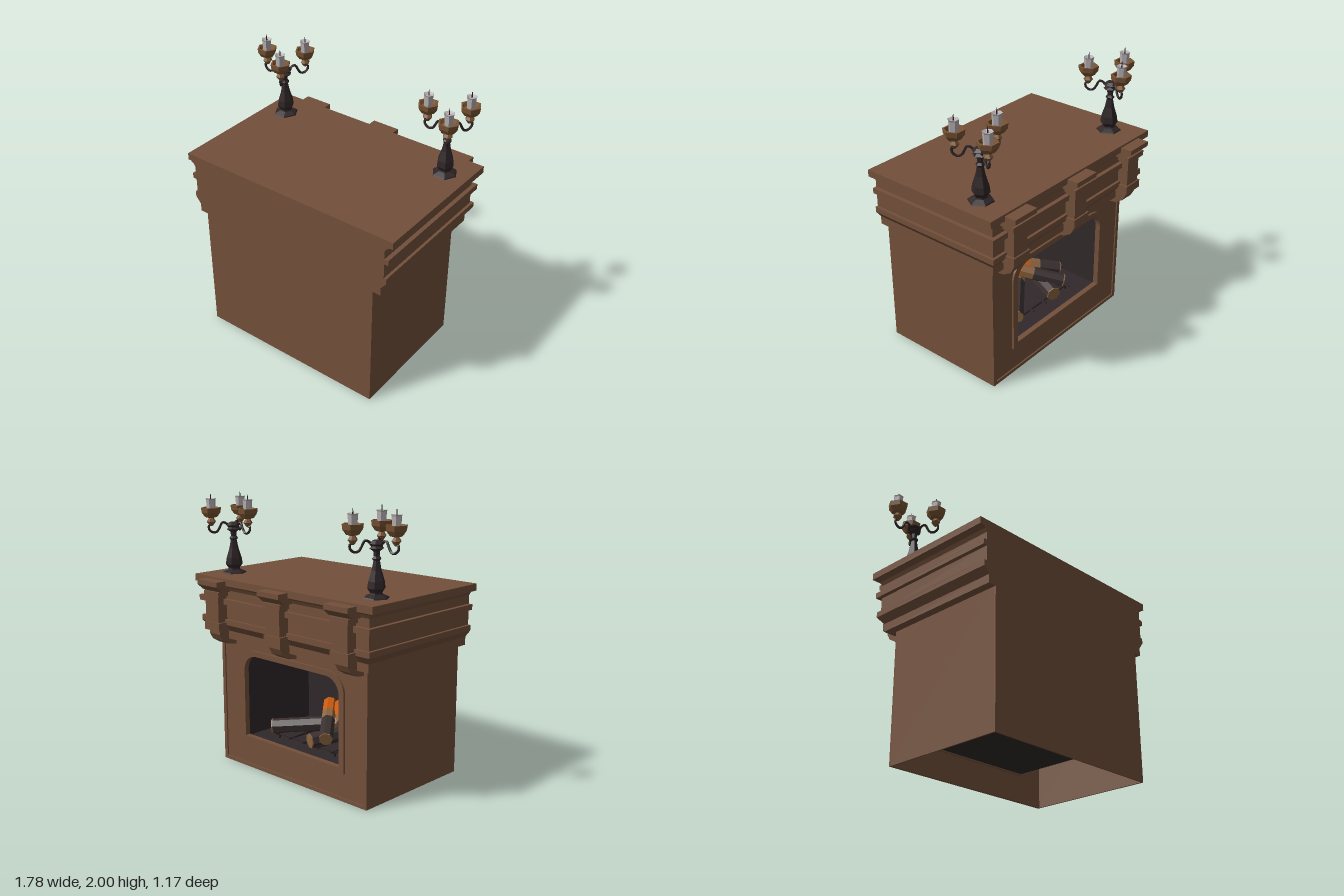
import * as THREE from 'three';

const mat = (name, color) => new THREE.MeshStandardMaterial({ name, color, flatShading: true, side: THREE.DoubleSide });

export function createModel() {
  const wood = mat('brown wood', 0x73503a);
  const soot = mat('sooty firebox', 0x30282a);
  const iron = mat('dark iron', 0x2e2426);
  const bronze = mat('bronze cup', 0x7a5433);
  const wax = mat('candle wax', 0xb5aeb0);
  const bark = mat('charred bark', 0x3a3030);
  const cut = mat('cut log', 0x8c6440);
  const ember = mat('glowing ember', 0xc85a10);

  const model = new THREE.Group();
  model.name = 'fireplace';
  const CX = 0.03, FRONT = 0.59, BACK = -0.38, HX = 0.72;

  const add = (parent, name, geo, material) => {
    const m = new THREE.Mesh(geo, material);
    m.name = name;
    parent.add(m);
    return m;
  };
  // Box given by its minimum and maximum corners
  const box = (parent, name, material, a, b) => {
    const g = new THREE.BoxGeometry(b[0] - a[0], b[1] - a[1], b[2] - a[2]);
    g.translate((a[0] + b[0]) / 2, (a[1] + b[1]) / 2, (a[2] + b[2]) / 2);
    return add(parent, name, g, material);
  };
  // Rectangle with rounded upper corners
  const arch = (path, h, y0, y1, r) => {
    path.moveTo(CX - h, y0);
    path.lineTo(CX + h, y0);
    path.lineTo(CX + h, y1 - r);
    path.absarc(CX + h - r, y1 - r, r, 0, Math.PI / 2, false);
    path.lineTo(CX - h + r, y1);
    path.absarc(CX - h + r, y1 - r, r, Math.PI / 2, Math.PI, false);
    path.lineTo(CX - h, y0);
    return path;
  };
  const extrude = (shape, depth) =>
    new THREE.ExtrudeGeometry(shape, { depth, bevelEnabled: false, curveSegments: 5 });

  // Body: hollow shell, open underneath
  const body = new THREE.Group();
  body.name = 'body';
  model.add(body);
  const x0 = CX - HX, x1 = CX + HX;
  box(body, 'plainWall', wood, [x0, 0, FRONT - 0.01], [x1, 1, FRONT]);
  box(body, 'sideWall', wood, [x0, 0, BACK + 0.01], [x0 + 0.01, 1, FRONT]);
  box(body, 'sideWall', wood, [x1 - 0.01, 0, BACK + 0.01], [x1, 1, FRONT]);
  const panel = new THREE.Shape();
  panel.moveTo(x0, 0);
  panel.lineTo(x1, 0);
  panel.lineTo(x1, 1);
  panel.lineTo(x0, 1);
  panel.holes.push(arch(new THREE.Path(), 0.48, 0.23, 0.87, 0.13));
  add(body, 'hearthWall', extrude(panel, 0.01), wood).position.z = BACK + 0.01;
  box(body, 'edgeStrip', wood, [x0, 0, BACK], [x0 + 0.03, 1, BACK + 0.015]);
  box(body, 'edgeStrip', wood, [x1 - 0.03, 0, BACK], [x1, 1, BACK + 0.015]);
  box(body, 'baseStrip', wood, [x0, 0, BACK], [x1, 0.025, BACK + 0.015]);
  const rim = arch(new THREE.Shape(), 0.515, 0.2, 0.9, 0.15);
  rim.holes.push(arch(new THREE.Path(), 0.47, 0.24, 0.86, 0.12));
  add(body, 'openingFrame', extrude(rim, 0.04), wood).position.z = BACK - 0.005;

  // Firebox: five thin walls behind the opening
  const firebox = new THREE.Group();
  firebox.name = 'firebox';
  model.add(firebox);
  const f0 = CX - 0.485, f1 = CX + 0.485, fz0 = BACK + 0.03, fz1 = 0.29;
  box(firebox, 'floor', soot, [f0, 0.21, fz0], [f1, 0.225, fz1]);
  box(firebox, 'ceiling', soot, [f0, 0.88, fz0], [f1, 0.89, fz1]);
  box(firebox, 'rearWall', soot, [f0, 0.21, fz1], [f1, 0.89, fz1 + 0.01]);
  box(firebox, 'sideWall', soot, [f0 - 0.01, 0.21, fz0], [f0, 0.89, fz1]);
  box(firebox, 'sideWall', soot, [f1, 0.21, fz0], [f1 + 0.01, 0.89, fz1]);

  // Mantel: tiers as [bottom y, top y, bottom overhang, top overhang]
  const mantel = new THREE.Group();
  mantel.name = 'mantel';
  model.add(mantel);
  const tiers = [
    [0.97, 1.03, 0.06, 0.06], [1.03, 1.08, 0.06, 0.10], [1.08, 1.12, 0.10, 0.10],
    [1.12, 1.23, 0.08, 0.08], [1.23, 1.27, 0.11, 0.11], [1.27, 1.33, 0.08, 0.08],
    [1.33, 1.355, 0.08, 0.095], [1.355, 1.37, 0.095, 0.12], [1.37, 1.42, 0.14, 0.14],
  ];
  tiers.forEach(([ya, yb, oa, ob]) => {
    const g = new THREE.BoxGeometry(2, 2, 2);
    const p = g.attributes.position;
    for (let i = 0; i < p.count; i++) {
      const up = p.getY(i) > 0, o = up ? ob : oa;
      p.setXYZ(i, CX + p.getX(i) * (HX + o), up ? yb : ya,
        p.getZ(i) > 0 ? FRONT : BACK - Math.min(o, 0.12));
    }
    g.computeVertexNormals();
    add(mantel, 'mantelTier', g, wood);
  });

  // Corbels: side profile extruded across the width
  const prism = (parent, name, pts, cx, w) => {
    const g = extrude(new THREE.Shape(pts.map(([u, y]) => new THREE.Vector2(u, y))), w);
    g.translate(0, 0, -w / 2);
    g.rotateY(Math.PI / 2);
    g.translate(cx, 0, 0);
    return add(parent, name, g, wood);
  };
  [-0.595, 0.025, 0.655].forEach((cx) => {
    const c = new THREE.Group();
    c.name = 'corbel';
    model.add(c);
    prism(c, 'scroll', [[0.37, 0.92], [0.44, 0.93], [0.5, 0.965], [0.525, 1.01], [0.525, 1.05], [0.37, 1.05]], cx, 0.11);
    prism(c, 'lowerBlock', [[0.38, 1.04], [0.55, 1.04], [0.55, 1.1], [0.38, 1.1]], cx, 0.16);
    prism(c, 'shaft', [[0.38, 1.1], [0.54, 1.1], [0.54, 1.29], [0.38, 1.29]], cx, 0.13);
    prism(c, 'upperBlock', [[0.38, 1.29], [0.55, 1.29], [0.55, 1.325], [0.38, 1.325]], cx, 0.16);
    prism(c, 'cap', [[0.38, 1.325], [0.53, 1.325], [0.585, 1.37], [0.585, 1.405], [0.38, 1.405]], cx, 0.21);
  });

  // Candelabra
  const lathe = (pts) => new THREE.LatheGeometry(pts.map(([r, y]) => new THREE.Vector2(r, y)), 6, Math.PI / 6);
  const stem = lathe([[0, 1.42], [0.09, 1.42], [0.085, 1.428], [0.045, 1.445], [0.042, 1.455], [0.062, 1.485],
    [0.056, 1.53], [0.034, 1.6], [0.022, 1.66], [0.032, 1.675], [0.02, 1.69], [0.022, 1.72], [0.05, 1.74],
    [0.03, 1.755], [0.055, 1.77], [0.03, 1.79], [0, 1.795]]);
  const cup = lathe([[0, 1.765], [0.012, 1.77], [0.034, 1.8], [0.018, 1.825], [0.045, 1.833], [0.068, 1.865],
    [0.073, 1.9], [0.06, 1.9], [0.05, 1.875], [0, 1.87]]);
  const candle = lathe([[0, 1.87], [0.03, 1.87], [0.034, 1.955], [0.038, 1.965], [0.02, 1.955], [0, 1.955]]);
  const armCurve = new THREE.CatmullRomCurve3([[0.03, 1.755], [0.055, 1.785], [0.08, 1.79], [0.1, 1.755],
    [0.12, 1.725], [0.15, 1.72], [0.178, 1.745], [0.175, 1.775], [0.155, 1.775]]
    .map(([r, y]) => new THREE.Vector3(r, y, 0)));
  const arm = new THREE.TubeGeometry(armCurve, 20, 0.009, 5);
  const wick = new THREE.CylinderGeometry(0.002, 0.005, 0.045, 5).translate(0, 1.975, 0);
  [-0.66, 0.72].forEach((cx) => {
    const c = new THREE.Group();
    c.name = 'candelabrum';
    c.position.set(cx, 0, -0.27);
    model.add(c);
    add(c, 'stem', stem, iron);
    [1, 3, 5].forEach((k) => {
      const branch = new THREE.Group();
      branch.name = 'branch';
      branch.rotation.y = k * Math.PI / 3;
      c.add(branch);
      add(branch, 'arm', arm, iron);
      add(branch, 'cup', cup, bronze).position.x = 0.16;
      add(branch, 'candle', candle, wax).position.x = 0.16;
      add(branch, 'wick', wick, iron).position.x = 0.16;
    });
  });

  // Logs: bark (and ember) sections with cut ends
  const fire = new THREE.Group();
  fire.name = 'logPile';
  model.add(fire);
  const rod = (name, a, b, r, material, sides = 7) => {
    const d = b.clone().sub(a);
    const m = add(fire, name, new THREE.CylinderGeometry(r, r, d.length(), sides), material);
    m.position.copy(a).addScaledVector(d, 0.5);
    m.quaternion.setFromUnitVectors(new THREE.Vector3(0, 1, 0), d.normalize());
  };
  const log = (from, to, r, burn) => {
    const a = new THREE.Vector3(...from), b = new THREE.Vector3(...to);
    const at = (t) => a.clone().lerp(b, t);
    rod('cutEnd', at(0), at(0.02), r, cut);
    rod('logBark', at(0.02), at(burn), r, bark);
    if (burn < 1) {
      rod('scorchedBand', at(burn), at(burn + 0.2), r, cut);
      rod('ember', at(burn + 0.2), at(1), r, ember);
    }
  };
  log([0.36, 0.31, -0.25], [-0.02, 0.35, 0.05], 0.055, 0.8);
  log([-0.19, 0.34, -0.25], [0.1, 0.47, 0.1], 0.05, 0.5);
  log([-0.05, 0.3, -0.27], [-0.2, 0.33, 0.12], 0.055, 1);
  log([-0.28, 0.36, -0.14], [0.02, 0.46, 0.12], 0.05, 0.4);

  // Grate
  for (let i = 0; i < 5; i++) {
    const x = CX - 0.28 + i * 0.14;
    rod('grateBar', new THREE.Vector3(x, 0.26, -0.26), new THREE.Vector3(x, 0.26, 0.15), 0.008, iron, 5);
  }
  [-0.22, 0.1].forEach((z) => {
    rod('grateRail', new THREE.Vector3(CX - 0.3, 0.255, z), new THREE.Vector3(CX + 0.3, 0.255, z), 0.008, iron, 5);
    [-0.28, 0.28].forEach((x) =>
      rod('grateLeg', new THREE.Vector3(CX + x, 0.222, z), new THREE.Vector3(CX + x, 0.26, z), 0.008, iron, 5));
  });
  return model;
}
